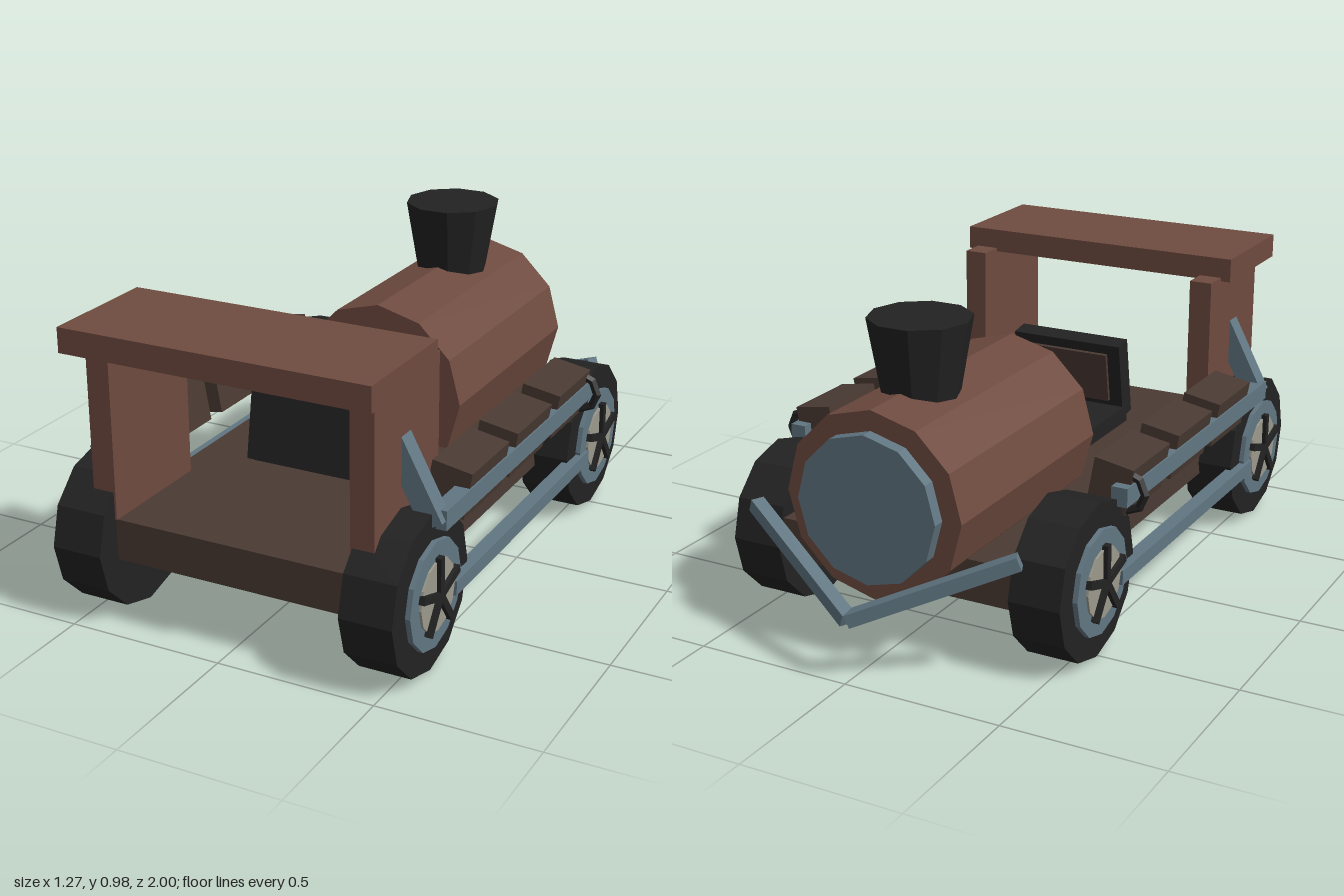
import * as THREE from 'three';

const material = (name, color) => {
  const m = new THREE.MeshStandardMaterial({ color, flatShading: true });
  m.name = name;
  return m;
};

export function createModel() {
  const model = new THREE.Group();
  model.name = 'steamTruck';

  const red = material('rustRed', 0x6f4b40);
  const wood = material('darkWood', 0x4a3a33);
  const black = material('black', 0x222222);
  const steel = material('steelBlue', 0x617682);
  const cream = material('hubCream', 0x9c9a8c);

  const add = (name, geometry, mat, x, y, z, parent = model) => {
    const mesh = new THREE.Mesh(geometry, mat);
    mesh.name = name;
    mesh.position.set(x, y, z);
    parent.add(mesh);
    return mesh;
  };
  const box = (name, mat, w, h, d, x, y, z, parent) =>
    add(name, new THREE.BoxGeometry(w, h, d), mat, x, y, z, parent);
  // Square bar between two points
  const beam = (name, mat, w, h, from, to) => {
    const a = new THREE.Vector3(...from), b = new THREE.Vector3(...to);
    const mesh = box(name, mat, w, h, a.distanceTo(b), 0, 0, 0);
    mesh.position.copy(a).add(b).multiplyScalar(0.5);
    mesh.lookAt(b);
    return mesh;
  };

  // Chassis, boiler and chimney
  box('chassis', wood, 0.88, 0.13, 1.63, 0, 0.265, 0.095);
  add('boiler', new THREE.CylinderGeometry(0.29, 0.29, 0.83, 12).rotateX(Math.PI / 2), red, 0, 0.483, -0.415);
  add('boilerCap', new THREE.CylinderGeometry(0.228, 0.228, 0.06, 12).rotateX(Math.PI / 2), steel, 0, 0.483, -0.84);
  add('chimney', new THREE.CylinderGeometry(0.157, 0.112, 0.26, 10).rotateY(Math.PI / 2), black, 0, 0.845, -0.555);

  // Cab roof
  box('roof', red, 0.985, 0.077, 0.395, 0, 0.897, 0.798);

  // Seat, with a wooden panel on the leaning backrest
  box('seat', black, 0.4, 0.055, 0.4, 0, 0.4025, 0.245);
  const back = new THREE.Group();
  back.name = 'backrest';
  back.position.set(0, 0.525, 0.437);
  back.rotation.x = -0.17;
  model.add(back);
  box('backFrame', black, 0.39, 0.265, 0.065, 0, 0, 0, back);
  box('backPanel', wood, 0.3, 0.17, 0.014, 0, 0.015, -0.038, back);

  for (const s of [1, -1]) {
    // Cab walls
    box('cabWall', red, 0.075, 0.54, 0.398, s * 0.4225, 0.6, 0.716);

    // Tilted side lockers
    for (const z of [0.437, 0.11, -0.222]) {
      box('locker', wood, 0.127, 0.148, 0.263, s * 0.515, 0.475, z).rotation.z = -s * 0.175;
    }

    // Side rods, grip ring and cab strut
    box('upperRod', steel, 0.052, 0.06, 1.12, s * 0.562, 0.462, 0.172);
    box('lowerRod', steel, 0.045, 0.045, 1.04, s * 0.56, 0.212, 0.125);
    add('gripRing', new THREE.TorusGeometry(0.06, 0.014, 5, 8), black, s * 0.562, 0.463, -0.338);
    const strut = box('cabStrut', steel, 0.068, 0.27, 0.058, s * 0.492, 0.565, 0.727);
    strut.rotation.z = s * 0.488;

    // Front bumper arm
    beam('bumperArm', steel, 0.042, 0.042, [s * 0.445, 0.388, -0.78], [0, 0.194, -0.977]);

    // Wheels with rim, hub and five spokes
    for (const z of [0.757, -0.508]) {
      const wheel = new THREE.Group();
      wheel.name = 'wheel';
      wheel.position.set(s * 0.473, 0.243, z);
      model.add(wheel);
      const disc = (name, r, depth, x, mat) =>
        add(name, new THREE.CylinderGeometry(r, r, depth, 12).rotateZ(Math.PI / 2), mat, s * x, 0, 0, wheel);
      disc('tire', 0.243, 0.164, 0, black);
      disc('rim', 0.165, 0.04, 0.078, steel);
      disc('hub', 0.11, 0.03, 0.09, cream);
      for (let i = 0; i < 5; i++) {
        const spoke = new THREE.BoxGeometry(0.018, 0.12, 0.024).translate(0, 0.06, 0);
        add('spoke', spoke, black, s * 0.109, 0, 0, wheel).rotation.x = (i * Math.PI * 2) / 5;
      }
    }
  }
  return model;
}
